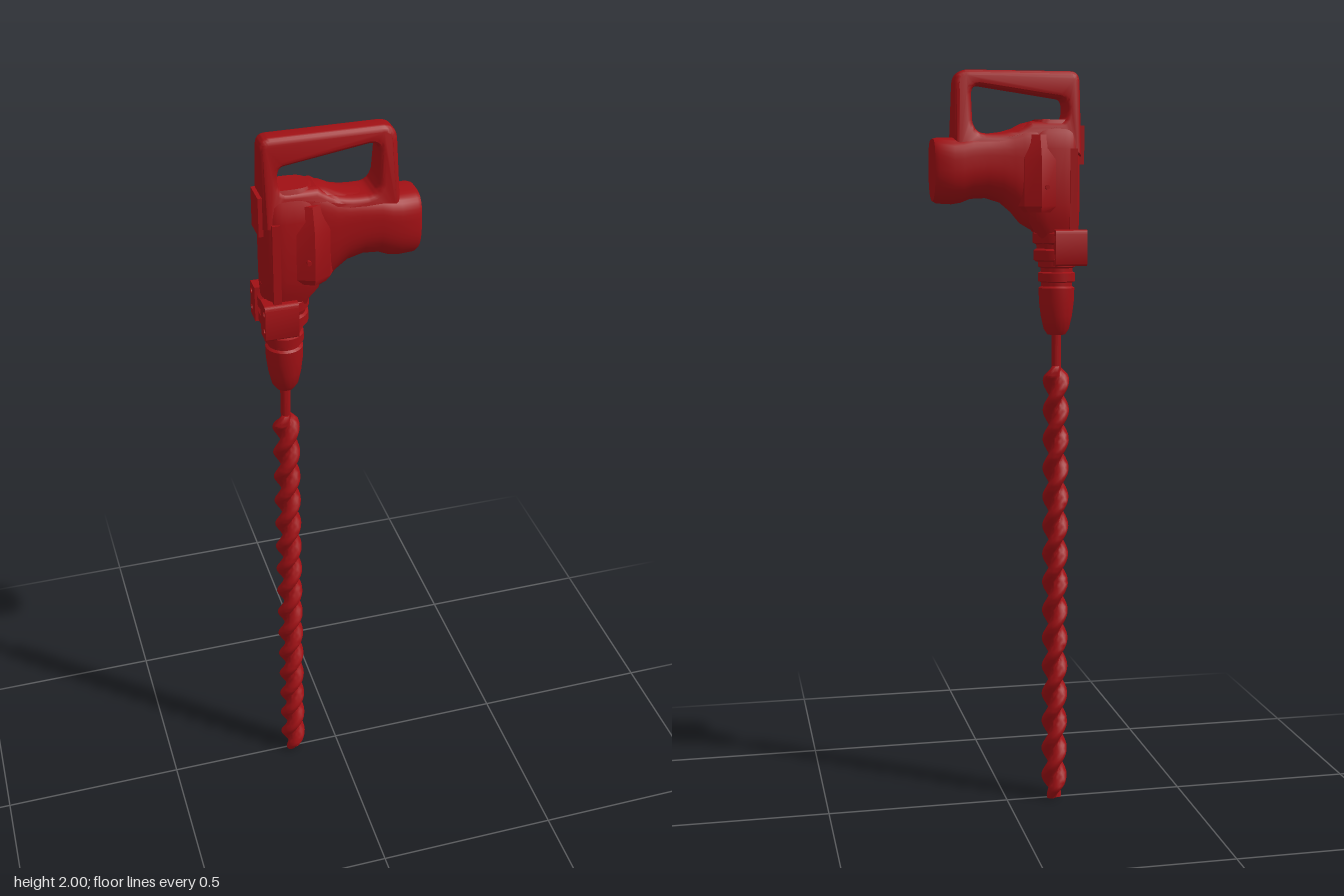
import * as THREE from 'three';
import { toCreasedNormals } from 'three/addons/utils/BufferGeometryUtils.js';

const AXIS_X = -0.135; // drilling axis
const red = new THREE.MeshStandardMaterial({ color: 0xa01014 });

function part(name, geometry, crease = 0.6) {
  const mesh = new THREE.Mesh(toCreasedNormals(geometry, crease), red);
  mesh.name = name;
  return mesh;
}

// Closed skin through rows of points; point(row, angle) returns [x, y, z]
function loft(rows, sides, point) {
  const pos = [], idx = [];
  rows.forEach((row) => {
    for (let i = 0; i < sides; i++) pos.push(...point(row, (i / sides) * Math.PI * 2));
  });
  for (let j = 0; j < rows.length - 1; j++) {
    for (let i = 0; i < sides; i++) {
      const k = (i + 1) % sides, a = j * sides + i, b = j * sides + k;
      idx.push(a, a + sides, b, b, a + sides, b + sides);
    }
  }
  const end = (rows.length - 1) * sides;
  for (let i = 1; i < sides - 1; i++) {
    idx.push(0, i, i + 1, end, end + i + 1, end + i);
  }
  const g = new THREE.BufferGeometry();
  g.setAttribute('position', new THREE.Float32BufferAttribute(pos, 3));
  g.setIndex(idx);
  return g;
}

const power = (v, n) => Math.sign(v) * Math.pow(Math.abs(v), 2 / n);

// Piecewise linear lookup in [[key, value], ...]
function lookup(table, v) {
  if (v <= table[0][0]) return table[0][1];
  for (let i = 1; i < table.length; i++) {
    const [k0, v0] = table[i - 1], [k1, v1] = table[i];
    if (v <= k1) return v0 + ((v1 - v0) * (v - k0)) / (k1 - k0);
  }
  return table[table.length - 1][1];
}

function lathe(points, sides = 32) {
  const g = new THREE.LatheGeometry(points.map(([r, y]) => new THREE.Vector2(r, y)), sides);
  return g.translate(AXIS_X, 0, 0);
}

// Two-lobed right-hand spiral
function spiralBit() {
  const rows = Array.from({ length: 151 }, (_, i) => (i / 150) * 1.225);
  return loft(rows, 24, (y, a) => {
    const twist = (-2 * Math.PI * (y - 1.19)) / 0.16;
    const taper = lookup([[0, 0.6], [0.035, 1], [1.2, 1], [1.225, 0.5]], y);
    const r = (0.016 + 0.02 * Math.pow(Math.abs(Math.cos(a - twist)), 1.6)) * taper;
    return [AXIS_X + r * Math.cos(a), y, r * Math.sin(a)];
  });
}

// Loop handle, thinner towards the top
function loopHandle() {
  const s = new THREE.Shape();
  s.moveTo(-0.19, 1.78);
  s.lineTo(0.15, 1.78);
  s.lineTo(0.145, 1.965);
  s.quadraticCurveTo(0.143, 2, 0.105, 2);
  s.lineTo(-0.165, 2);
  s.quadraticCurveTo(-0.19, 2, -0.19, 1.97);
  s.closePath();
  const h = new THREE.Path();
  h.moveTo(-0.135, 1.93);
  h.lineTo(0.075, 1.96);
  h.quadraticCurveTo(0.1, 1.962, 0.1, 1.935);
  h.lineTo(0.098, 1.87);
  h.quadraticCurveTo(0.092, 1.838, 0.065, 1.838);
  h.quadraticCurveTo(-0.01, 1.835, -0.055, 1.87);
  h.lineTo(-0.13, 1.87);
  h.quadraticCurveTo(-0.15, 1.87, -0.15, 1.9);
  h.quadraticCurveTo(-0.15, 1.928, -0.135, 1.93);
  s.holes.push(h);
  const g = new THREE.ExtrudeGeometry(s, {
    depth: 1.2, bevelThickness: 0.4, bevelSize: 0.014, bevelOffset: -0.014,
    bevelSegments: 3, curveSegments: 8,
  }).translate(0, 0, -0.6);
  const p = g.attributes.position;
  const width = [[1.78, 0.062], [1.83, 0.055], [1.9, 0.042], [1.96, 0.034], [2, 0.026]];
  for (let i = 0; i < p.count; i++) p.setZ(i, p.getZ(i) * lookup(width, p.getY(i)));
  return g;
}

// Clamp lug with a hole running front to back
function clampLug() {
  const s = new THREE.Shape();
  s.moveTo(0.03, 1.495);
  s.lineTo(0.068, 1.495);
  s.quadraticCurveTo(0.078, 1.495, 0.078, 1.505);
  s.lineTo(0.078, 1.58);
  s.quadraticCurveTo(0.078, 1.59, 0.068, 1.59);
  s.lineTo(0.03, 1.59);
  s.closePath();
  for (const y of [1.52, 1.567]) {
    const h = new THREE.Path();
    h.absarc(0.064, y, 0.008, 0, Math.PI * 2, true);
    s.holes.push(h);
  }
  return new THREE.ExtrudeGeometry(s, { depth: 0.085, bevelEnabled: false, curveSegments: 8 })
    .rotateY(-Math.PI / 2).translate(-0.115, 0, 0);
}

export function createModel() {
  const model = new THREE.Group();
  model.name = 'rotaryHammer';

  // Bit and chuck
  model.add(part('spiralBit', spiralBit(), 0.9));
  model.add(part('bitShank', new THREE.CylinderGeometry(0.013, 0.013, 0.15, 20).translate(AXIS_X, 1.27, 0)));
  model.add(part('chuck', lathe([
    [0, 1.31], [0.024, 1.31], [0.034, 1.325], [0.042, 1.36], [0.047, 1.4], [0.048, 1.435],
    [0.042, 1.44], [0.042, 1.45], [0.05, 1.453], [0.05, 1.475], [0.043, 1.478],
    [0.043, 1.488], [0.05, 1.492], [0.05, 1.52], [0, 1.52],
  ])));
  model.add(part('clampRing', lathe([
    [0, 1.505], [0.056, 1.505], [0.062, 1.51], [0.062, 1.535], [0.054, 1.54],
    [0.054, 1.55], [0.064, 1.555], [0.064, 1.58], [0.056, 1.585], [0.056, 1.62], [0, 1.62],
  ])));

  // Side clamp lugs, mirrored
  const lugs = new THREE.Group();
  lugs.name = 'clampLugs';
  const left = part('clampLug', clampLug());
  const right = part('clampLug', clampLug().rotateY(Math.PI).translate(-0.315, 0, 0));
  lugs.add(left, right);
  model.add(lugs);

  // Gear housing: [y, xMin, xMax, halfDepth]
  const column = [
    [1.54, -0.185, -0.085, 0.048], [1.58, -0.188, -0.075, 0.055], [1.61, -0.19, -0.05, 0.064],
    [1.65, -0.19, -0.04, 0.068], [1.8, -0.19, -0.04, 0.068], [1.84, -0.19, -0.05, 0.056],
    [1.875, -0.188, -0.07, 0.04],
  ];
  model.add(part('gearHousing', loft(column, 40, ([y, x0, x1, d], a) => [
    (x0 + x1) / 2 + ((x1 - x0) / 2) * power(Math.cos(a), 3.5), y, d * power(Math.sin(a), 3.5),
  ])));

  // Motor housing: [x, yMin, yMax, halfDepth], flatter on top than below
  const motor = [
    [-0.12, 1.58, 1.87, 0.05], [-0.07, 1.585, 1.872, 0.064], [-0.035, 1.605, 1.865, 0.066],
    [-0.01, 1.635, 1.852, 0.065], [0.02, 1.66, 1.843, 0.065], [0.06, 1.672, 1.838, 0.066],
    [0.1, 1.67, 1.835, 0.069], [0.125, 1.66, 1.83, 0.072], [0.15, 1.656, 1.827, 0.072],
    [0.19, 1.658, 1.827, 0.069], [0.2, 1.664, 1.824, 0.062],
  ];
  model.add(part('motorHousing', loft(motor, 40, ([x, y0, y1, d], a) => {
    const s = Math.sin(a), n = s > 0 ? 3.2 : 2.2;
    return [x, (y0 + y1) / 2 + ((y1 - y0) / 2) * power(s, n), d * power(Math.cos(a), n)];
  })));

  model.add(part('loopHandle', loopHandle()));

  // Wedge-shaped side cheeks: [y, bulge, reach]
  const cheek = [[1.635, 0.08, 0.045], [1.65, 0.085, 0.06], [1.77, 0.085, 0.06], [1.835, 0.064, 0.045]];
  model.add(part('sideCheeks', loft(cheek, 8, ([y, d, reach], a) => [
    -0.075 + reach * (Math.abs(Math.cos(a)) > 0.9 ? 1.35 : 1) * Math.cos(a),
    y, Math.abs(Math.sin(a)) > 0.9 ? Math.sign(Math.sin(a)) * d : 0.9 * d * Math.sin(a) * 1.25,
  ]), 0.3));

  // Through pin, front switch pad and a rib on each flank
  model.add(part('crossPin', new THREE.CylinderGeometry(0.006, 0.006, 0.176, 12)
    .rotateX(Math.PI / 2).translate(-0.09, 1.7, 0)));
  model.add(part('frontPad', new THREE.BoxGeometry(0.03, 0.1, 0.07).translate(-0.185, 1.81, 0)));
  for (const side of [1, -1]) {
    model.add(part('flankRib', new THREE.BoxGeometry(0.02, 0.22, 0.02)
      .translate(-0.165, 1.69, side * 0.058)));
  }
  return model;
}
